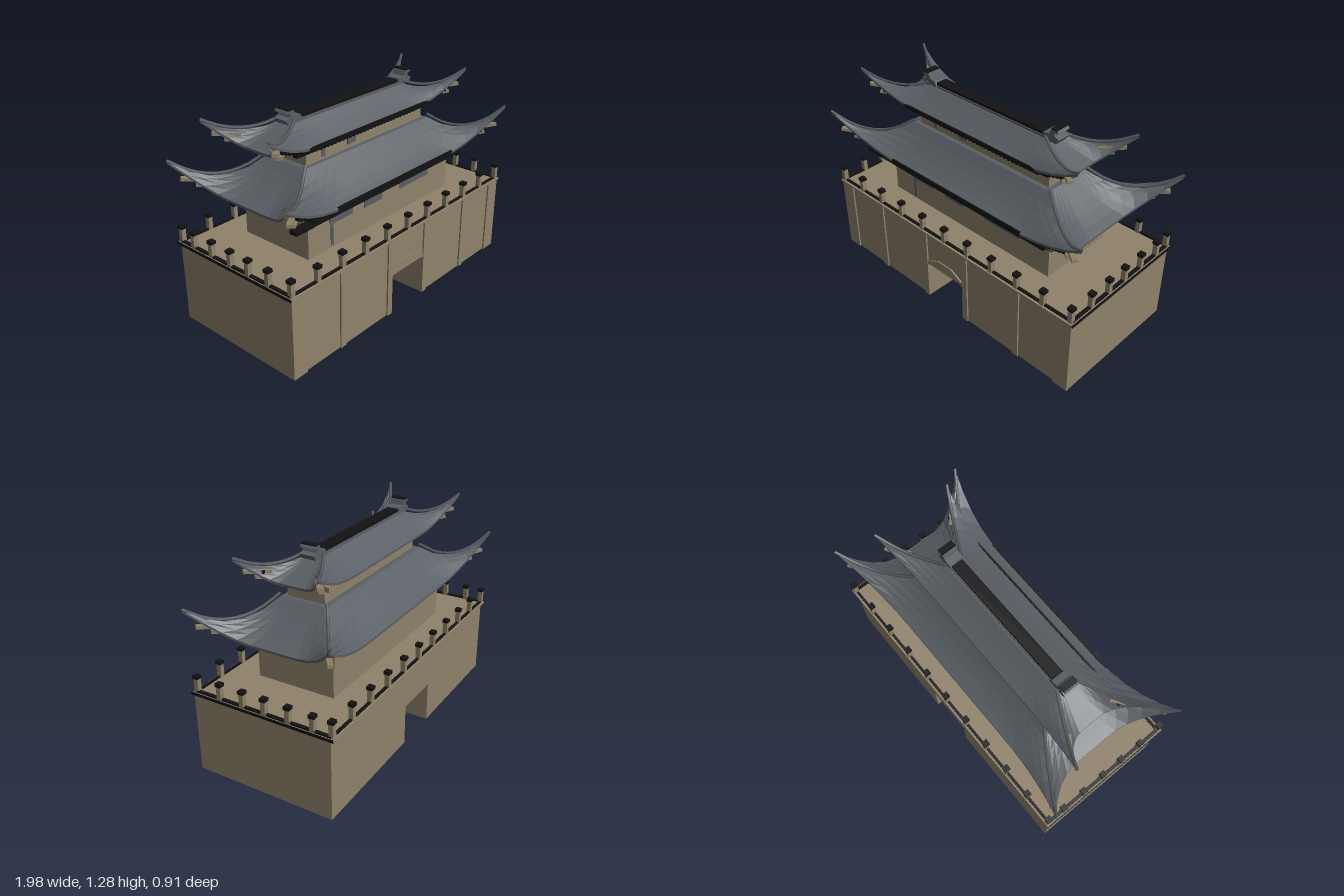
import * as THREE from 'three';

export function createModel() {
  const root = new THREE.Group();
  const mat = (name, color, side = THREE.FrontSide) => {
    const m = new THREE.MeshStandardMaterial({ color, side });
    m.name = name;
    return m;
  };
  const stone = mat('tan stone', 0x8f826a, THREE.DoubleSide);
  const tile = mat('slate tile', 0x5a5f65, THREE.DoubleSide);
  const black = mat('black timber', 0x121212);

  const add = (name, geo, material, parent = root) => {
    const m = new THREE.Mesh(geo, material);
    m.name = name;
    parent.add(m);
    return m;
  };
  // Box given by its min and max along each axis
  const box = (name, material, x0, x1, y0, y1, z0, z1, parent = root) => {
    const m = add(name, new THREE.BoxGeometry(x1 - x0, y1 - y0, z1 - z0), material, parent);
    m.position.set((x0 + x1) / 2, (y0 + y1) / 2, (z0 + z1) / 2);
    return m;
  };
  const group = (name) => {
    const g = new THREE.Group();
    g.name = name;
    root.add(g);
    return g;
  };

  // Hollow fortified base, open underneath, with a gate passage
  const base = group('base');
  for (const s of [-1, 1]) {
    box('endWall', stone, s * 0.955 - 0.005, s * 0.955 + 0.005, 0, 0.49, -0.43, 0.44, base);
    box('passageWall', stone, s * 0.155 - 0.005, s * 0.155 + 0.005, 0, 0.25, -0.43, 0.435, base);
    const half = (n, z0, z1) => box(n, stone, s < 0 ? -0.95 : 0.15, s < 0 ? -0.15 : 0.95, 0, 0.49, z0, z1, base);
    half('backWall', -0.43, -0.42);
    half('frontWall', 0.425, 0.435);
    for (const [a, b] of [[0.15, 0.19], [0.555, 0.595], [0.86, 0.96]])
      box('pilaster', stone, Math.min(s * a, s * b), Math.max(s * a, s * b), 0, 0.49, 0.43, 0.445, base);
  }
  box('passageCeiling', stone, -0.15, 0.15, 0.25, 0.26, -0.42, 0.43, base);
  box('backLintel', stone, -0.15, 0.15, 0.25, 0.49, -0.43, -0.42, base);
  box('frontLintel', stone, -0.15, 0.15, 0.25, 0.49, 0.425, 0.435, base);
  const arch = new THREE.Shape([[-0.15, 0.25], [-0.15, 0.275], [-0.06, 0.325], [0.06, 0.325], [0.15, 0.275], [0.15, 0.25],
    [0.06, 0.3], [-0.06, 0.3]].map(p => new THREE.Vector2(...p)));
  add('gateArch', new THREE.ExtrudeGeometry(arch, { depth: 0.008, bevelEnabled: false }), stone, base).position.z = 0.435;

  // Terrace floor and railing
  const terrace = group('terrace');
  box('floor', stone, -0.97, 0.97, 0.49, 0.502, -0.45, 0.452, terrace);
  for (const s of [-1, 1]) {
    box('sideEdge', black, s * 0.972 - 0.003, s * 0.972 + 0.003, 0.49, 0.505, -0.453, 0.455, terrace);
    box('longRail', black, -0.95, 0.95, 0.502, 0.512, s * 0.43 - 0.008, s * 0.43 + 0.008, terrace);
    box('sideRail', black, s * 0.95 - 0.01, s * 0.95 + 0.01, 0.502, 0.512, -0.43, 0.43, terrace);
  }
  const post = (x, z) => {
    box('railPost', stone, x - 0.014, x + 0.014, 0.5, 0.585, z - 0.014, z + 0.014, terrace);
    box('railPostCap', black, x - 0.018, x + 0.018, 0.583, 0.602, z - 0.018, z + 0.018, terrace);
  };
  for (const s of [-1, 1]) {
    for (let i = -5; i <= 5; i++) post(i * 0.189, s * 0.43);
    for (const z of [-0.32, -0.17, -0.02, 0.12, 0.27]) post(s * 0.95, z);
  }

  // Sweeping hip roof: r gives eave, corner and top sizes; a runs along a side, o points outward
  const roofPoint = (r, long, u, t, drop = 0) => {
    const flat = long ? 0.45 : 0.25;
    const k = Math.pow(Math.max(0, (Math.abs(u) - flat) / (1 - flat)), 2.1);
    const [ac, oc, om] = long ? [r.xc, r.zc, r.zm] : [r.zc, r.xc, r.xm];
    const [at, ot] = long ? [r.xt, r.zt] : [r.zt, r.xt];
    const o = om + (oc - om) * k;
    const y = r.ym + (r.yc - r.ym) * k;
    const sag = (r.sag + (r.hipSag - r.sag) * k) * 4 * t * (1 - t);
    return [u * (ac + (at - ac) * t), y + (r.yt - y) * t - sag - drop, o + (ot - o) * t];
  };
  const turn = [
    ([a, y, o]) => [a, y, o], ([a, y, o]) => [o, y, -a],
    ([a, y, o]) => [-a, y, -o], ([a, y, o]) => [-o, y, a],
  ];
  // Flat-faceted surface through rows of the roof; each row is [t, drop]
  const roofSurface = (r, rows) => {
    const pos = [];
    turn.forEach((f, side) => {
      const long = side % 2 === 0, n = long ? 18 : 12;
      const p = (i, j) => f(roofPoint(r, long, -1 + 2 * i / n, ...rows[j]));
      for (let i = 0; i < n; i++) for (let j = 0; j + 1 < rows.length; j++) {
        const a = p(i, j), b = p(i + 1, j), c = p(i + 1, j + 1), d = p(i, j + 1);
        pos.push(...a, ...b, ...c, ...a, ...c, ...d);
      }
    });
    const g = new THREE.BufferGeometry();
    g.setAttribute('position', new THREE.Float32BufferAttribute(pos, 3));
    g.computeVertexNormals();
    return g;
  };
  const makeRoof = (name, r) => {
    const g = group(name);
    g.position.x = r.cx;
    add('roofTiles', roofSurface(r, [[0, 0.014], [0, 0], [0.2, 0], [0.4, 0], [0.6, 0], [0.8, 0], [1, 0]]), tile, g);
    add('soffit', roofSurface(r, [[0.7, 0.022], [0.45, 0.022], [0.2, 0.018], [0, 0.014]]), stone, g);
    box('roofCap', tile, -r.xt, r.xt, r.yt - 0.012, r.yt, -r.zt, r.zt, g);
    for (const sx of [-1, 1]) for (const sz of [-1, 1]) {
      // Raised ridge along each hip
      const pts = [0, 0.2, 0.4, 0.6, 0.8, 1].map(t => {
        const [x, y, z] = roofPoint(r, true, 1, t);
        return new THREE.Vector3(x * sx, y + 0.004 + 0.016 * t, z * sz);
      });
      add('hipRidge', new THREE.TubeGeometry(new THREE.CatmullRomCurve3(pts), 10, 0.009, 4), tile, g);
      // Corner rafters beneath the upturned eave
      for (const [f, dy] of [[0.45, 0], [0.3, 0.025]]) {
        const [x, y, z] = roofPoint(r, true, 1, f);
        const beam = add('cornerRafter', new THREE.BoxGeometry(r.beam, 0.018, 0.03), stone, g);
        beam.position.set(x * sx, y - 0.055 + dy, z * sz);
        beam.rotation.y = -sx * sz * 0.65;
        beam.rotation.z = sx * 0.1;
      }
    }
    // Rafter ends along the front eave
    for (let i = -r.rafters; i <= r.rafters; i++) {
      const [x, y, z] = roofPoint(r, true, 0.88 * i / r.rafters, 0.08);
      box('rafterEnd', black, x - 0.007, x + 0.007, y - 0.034, y - 0.016, z - 0.06, z + 0.005, g);
    }
    return g;
  };

  // Lower hall
  const hall = group('lowerHall');
  box('hallWalls', stone, -0.635, 0.635, 0.5, 0.84, -0.243, 0.248, hall);
  box('frontBeam', stone, -0.665, 0.665, 0.71, 0.75, 0.24, 0.27, hall);
  box('backBeam', stone, -0.665, 0.665, 0.705, 0.77, -0.27, -0.24, hall);
  box('beamLine', black, -0.665, 0.665, 0.703, 0.71, 0.245, 0.268, hall);
  box('bracketBand', black, -0.67, 0.66, 0.745, 0.776, 0.27, 0.33, hall);
  box('leftBracketEnd', black, -0.8, -0.67, 0.742, 0.766, 0.28, 0.33, hall);
  box('eaveBoard', black, -0.52, 0.52, 0.778, 0.812, 0.353, 0.363, hall);
  for (const [a, b, y] of [[-0.47, -0.28, 0.65], [-0.18, -0.02, 0.645], [0.15, 0.43, 0.65]])
    box('window', tile, a, b, y, 0.7, 0.247, 0.253, hall);
  box('windowDrape', tile, -0.46, -0.44, 0.52, 0.65, 0.247, 0.253, hall);
  for (let i = -3; i <= 3; i++)
    box('beamPeg', black, i * 0.21 - 0.006, i * 0.21 + 0.006, 0.71, 0.73, 0.268, 0.274, hall);
  makeRoof('lowerRoof', { cx: 0, xc: 0.985, zc: 0.445, xm: 0.82, zm: 0.36, ym: 0.8, yc: 0.995,
    xt: 0.54, zt: 0.15, yt: 0.975, sag: 0.02, hipSag: 0.1, beam: 0.2, rafters: 32 });

  // Upper hall
  const upper = group('upperHall');
  box('upperWalls', stone, -0.51, 0.51, 0.96, 1.12, -0.115, 0.123, upper);
  box('upperBeam', black, -0.6, 0.52, 1.052, 1.076, 0.12, 0.15, upper);
  box('upperBackBeam', stone, -0.54, 0.52, 1.05, 1.08, -0.15, -0.11, upper);
  box('upperEaveBoard', black, -0.56, 0.5, 1.088, 1.112, 0.195, 0.205, upper);
  box('upperWindow', tile, -0.18, -0.11, 1.0, 1.05, 0.122, 0.128, upper);
  box('upperWindow', tile, -0.39, -0.365, 0.99, 1.05, 0.122, 0.128, upper);
  makeRoof('upperRoof', { cx: -0.05, xc: 0.84, zc: 0.252, xm: 0.69, zm: 0.2, ym: 1.1, yc: 1.248,
    xt: 0.46, zt: 0.05, yt: 1.2, sag: 0.005, hipSag: 0.055, beam: 0.15, rafters: 24 });

  // Main ridge with curled end ornaments
  const ridge = group('mainRidge');
  box('ridgeBase', tile, -0.5, 0.42, 1.19, 1.212, -0.042, 0.042, ridge);
  box('ridgeTop', black, -0.45, 0.38, 1.21, 1.23, -0.036, 0.036, ridge);
  const curl = new THREE.Shape([[-0.06, 0], [0.05, 0], [0.07, 0.03], [0.04, 0.04], [0.035, 0.06], [0.065, 0.065], [0.055, 0.08],
    [0.01, 0.075], [0, 0.045], [-0.04, 0.04]].map(p => new THREE.Vector2(...p)));
  const curlGeo = new THREE.ExtrudeGeometry(curl, { depth: 0.09, bevelEnabled: false }).translate(0, 0, -0.045);
  for (const [x, turnY] of [[-0.5, Math.PI], [0.43, 0]]) {
    const m = add('ridgeOrnament', curlGeo, tile, ridge);
    m.position.set(x, 1.195, 0);
    m.rotation.y = turnY;
    box('ornamentCap', black, x - 0.02, x + 0.02, 1.272, 1.28, -0.046, 0.046, ridge)
      .position.x += turnY ? -0.035 : 0.035;
  }
  return root;
}
